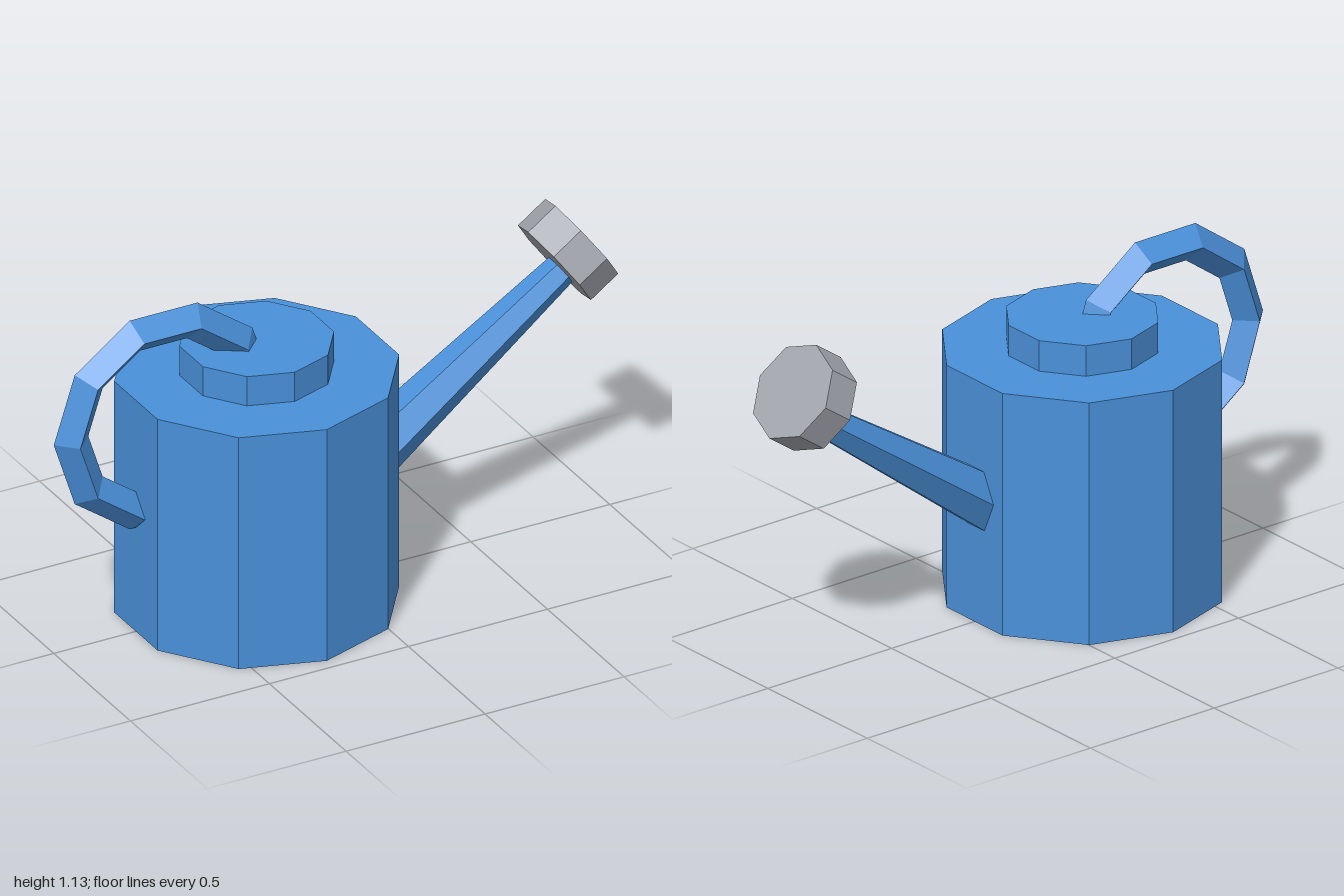
import * as THREE from 'three';

const BODY_X = -0.27;
const TILT = THREE.MathUtils.degToRad(35); // spout rise above horizontal

export function createModel() {
  const group = new THREE.Group();
  const blue = new THREE.MeshStandardMaterial({ name: 'blue paint', color: 0x4a90d9, flatShading: true });
  const grey = new THREE.MeshStandardMaterial({ name: 'grey metal', color: 0xa3a6ae, flatShading: true });

  const add = (name, geometry, material, x, y, rotZ = 0) => {
    const mesh = new THREE.Mesh(geometry, material);
    mesh.name = name;
    mesh.position.set(x, y, 0);
    mesh.rotation.z = rotZ;
    group.add(mesh);
  };

  // Ten-sided tank with a low raised lid
  add('body', new THREE.CylinderGeometry(0.457, 0.457, 0.833, 10), blue, BODY_X, 0.4165);
  add('lid', new THREE.CylinderGeometry(0.248, 0.248, 0.115, 10), blue, BODY_X, 0.8805);

  // Ring handle, its lower inner part buried in the tank
  add('handle', new THREE.TorusGeometry(0.333, 0.062, 4, 10), blue, -0.605, 0.75);

  // Tapered six-sided spout, starting inside the tank and ending inside the rose
  const start = -0.15, end = 0.85;
  const mid = (start + end) / 2;
  add('spout', new THREE.CylinderGeometry(0.052, 0.103, end - start, 6), blue,
    0.165 + mid * Math.cos(TILT), 0.433 + mid * Math.sin(TILT), TILT - Math.PI / 2);

  // Eight-sided sprinkler rose
  add('rose', new THREE.CylinderGeometry(0.165, 0.165, 0.12, 8), grey, 0.85, 0.959, TILT - Math.PI / 2);

  return group;
}
